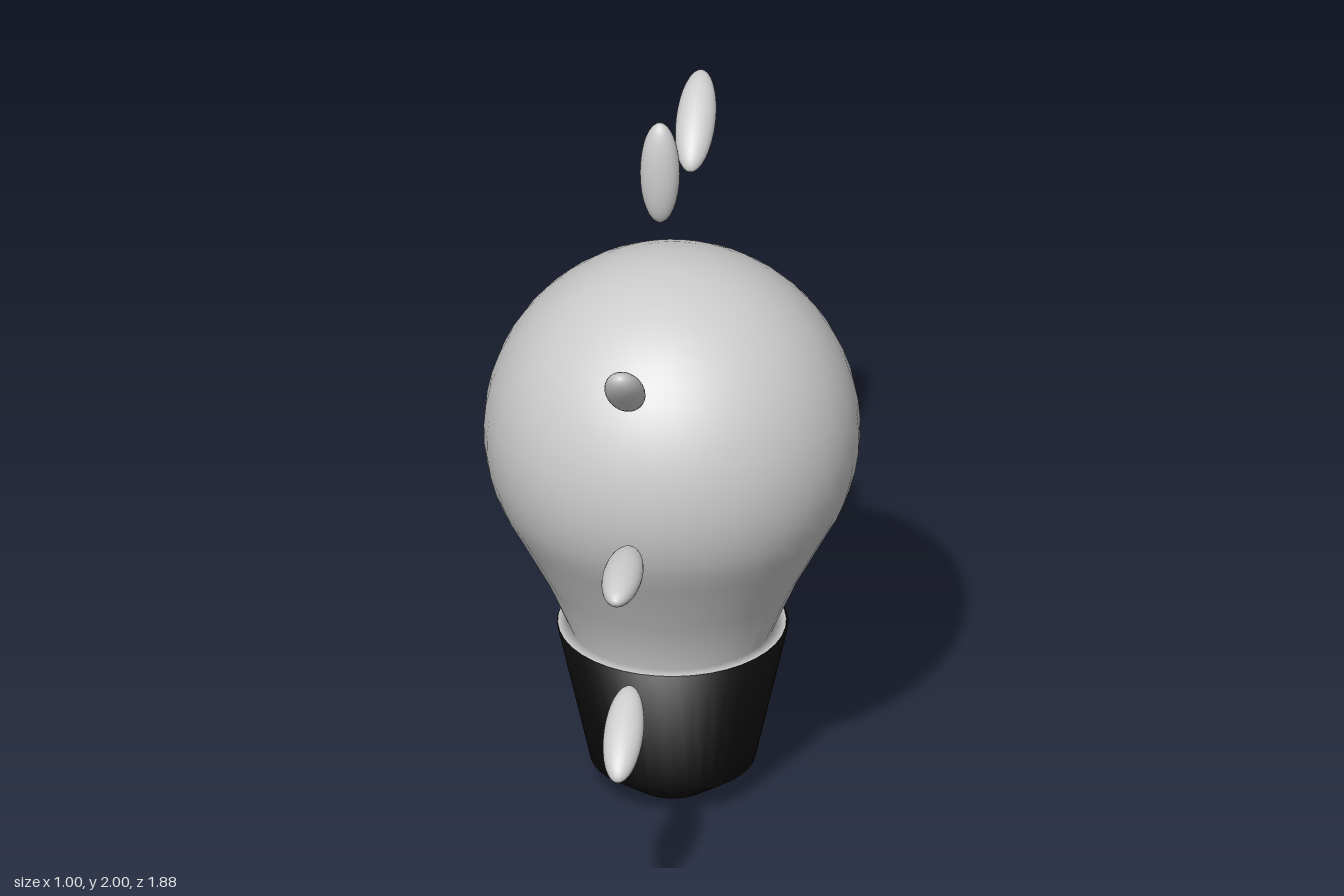
import * as THREE from 'three';

const v = (r, y) => new THREE.Vector2(r, y);

export function createModel() {
  const model = new THREE.Group();
  const glassGrey = new THREE.MeshStandardMaterial({ color: 0xcccccc });
  glassGrey.name = 'glassGrey';
  const baseBlack = new THREE.MeshStandardMaterial({ color: 0x0b0b0b });
  baseBlack.name = 'baseBlack';

  function add(name, geometry, material, x, y, z) {
    const mesh = new THREE.Mesh(geometry, material);
    mesh.name = name;
    mesh.position.set(x, y, z);
    model.add(mesh);
    return mesh;
  }

  // Glass: collar, tapering neck, then a round dome
  const R = 0.499, cy = 1.07;
  const profile = [v(0.303, 0.484), v(0.272, 0.486), v(0.342, 0.65)];
  const start = -0.56, steps = 18;
  for (let i = 0; i <= steps; i++) {
    const a = start + (Math.PI / 2 - start) * i / steps;
    profile.push(v(Math.max(0, R * Math.cos(a)), cy + R * Math.sin(a)));
  }
  add('bulb', new THREE.LatheGeometry(profile, 40), glassGrey, -0.002, 0, -0.01);

  // Tapered base with a chamfered foot
  const foot = [v(0, 0), v(0.105, 0), v(0.22, 0.083), v(0.307, 0.48), v(0, 0.48)];
  add('base', new THREE.LatheGeometry(foot, 40), baseBlack, 0, 0, -0.01);

  // Light rays: flattened ellipsoids [y, z, tilt in degrees]
  const rayShape = new THREE.SphereGeometry(1, 24, 16).scale(0.053, 0.15, 0.042);
  const rays = [
    [1.85, 0, 0],
    [1.60, 0.74, 47.5],
    [1.58, -0.757, -55],
    [1.066, 0.79, 90],
    [1.066, -0.785, -90],
    [0.574, 0.77, 119],
    [0.532, -0.754, -125],
  ];
  rays.forEach(([y, z, tilt], i) => {
    add('ray' + (i + 1), rayShape, glassGrey, -0.033, y, z).rotation.x = THREE.MathUtils.degToRad(tilt);
  });

  return model;
}
